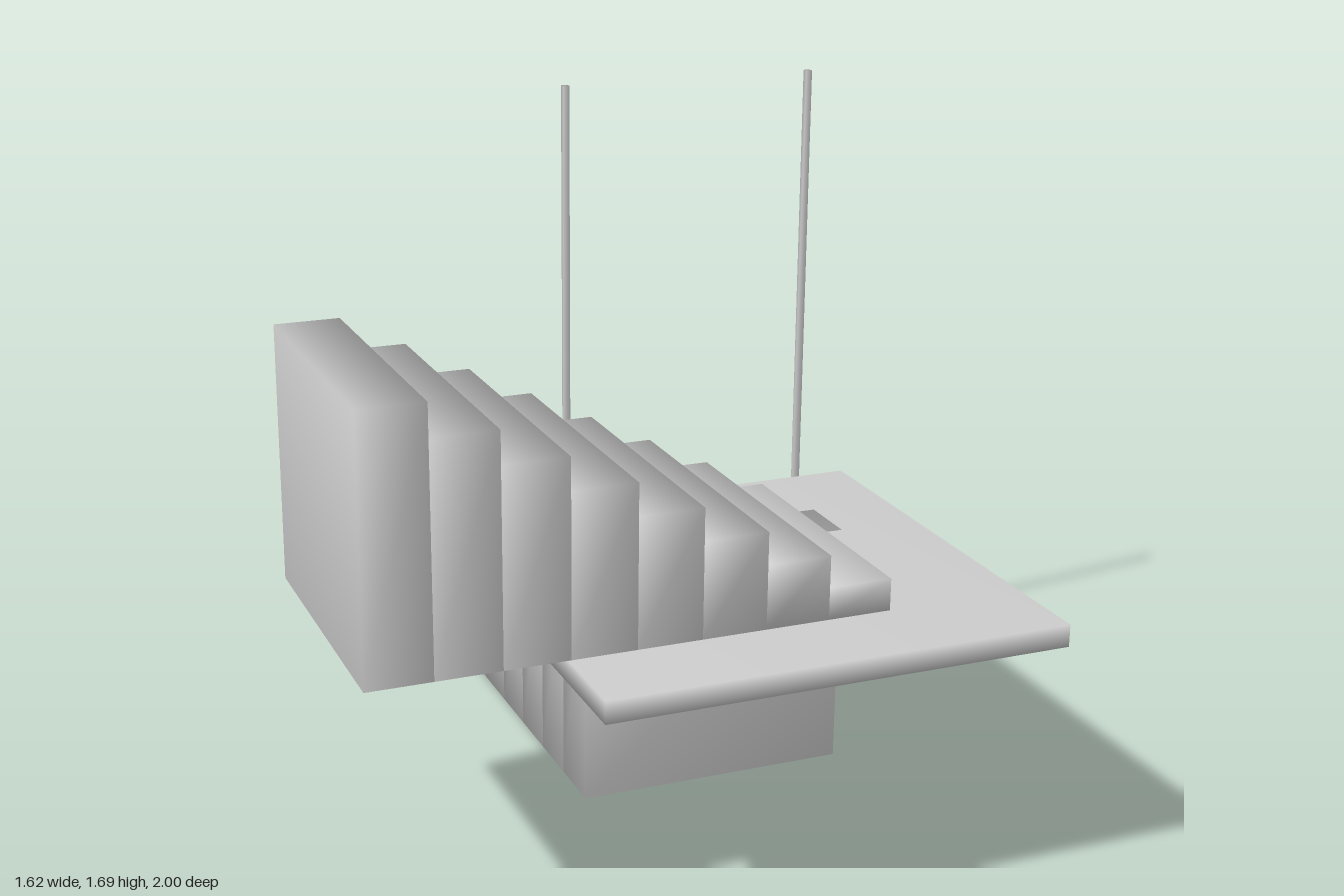
import * as THREE from 'three';
import { mergeVertices } from 'three/addons/utils/BufferGeometryUtils.js';

const material = new THREE.MeshStandardMaterial({ color: 0xcccccc });

// Box given by its limits, with corners shared so the shading is smooth
function block(name, [x0, x1], [y0, y1], [z0, z1]) {
  let geometry = new THREE.BoxGeometry(x1 - x0, y1 - y0, z1 - z0);
  geometry.deleteAttribute('uv');
  geometry.deleteAttribute('normal');
  geometry = mergeVertices(geometry);
  geometry.computeVertexNormals();
  const mesh = new THREE.Mesh(geometry, material);
  mesh.name = name;
  mesh.position.set((x0 + x1) / 2, (y0 + y1) / 2, (z0 + z1) / 2);
  return mesh;
}

export function createModel() {
  const model = new THREE.Group();
  model.name = 'staircase';

  const steps = 8, tread = 0.158, rise = 0.0791;
  const landingTop = steps * rise;

  // Two flights of solid steps, the upper one turned a quarter
  const lowerFlight = new THREE.Group();
  lowerFlight.name = 'lowerFlight';
  const upperFlight = new THREE.Group();
  upperFlight.name = 'upperFlight';
  for (let i = 0; i < steps; i++) {
    const height = (i + 1) * rise;
    const z = -1 + i * tread;
    const x = 0.45 - i * tread;
    // The last lower step sits flush in the landing
    const flush = i === steps - 1 ? 0.0005 : 0;
    lowerFlight.add(block('lowerStep', [-0.112, 0.587], [0, height + flush], [z, z + tread]));
    upperFlight.add(block('upperStep', [x - tread, x], [landingTop, landingTop + height], [0.076, 0.776]));
  }

  // Landing slab between the flights
  const landing = block('landing', [-0.348, 0.795], [0.578, landingTop], [-0.146, 1]);

  // Thin square posts
  const posts = [0.099, 0.8].map((x) =>
    block('post', [x - 0.0085, x + 0.0085], [0, 1.687], [-0.4415, -0.4245]));

  model.add(lowerFlight, landing, upperFlight, ...posts);
  return model;
}
